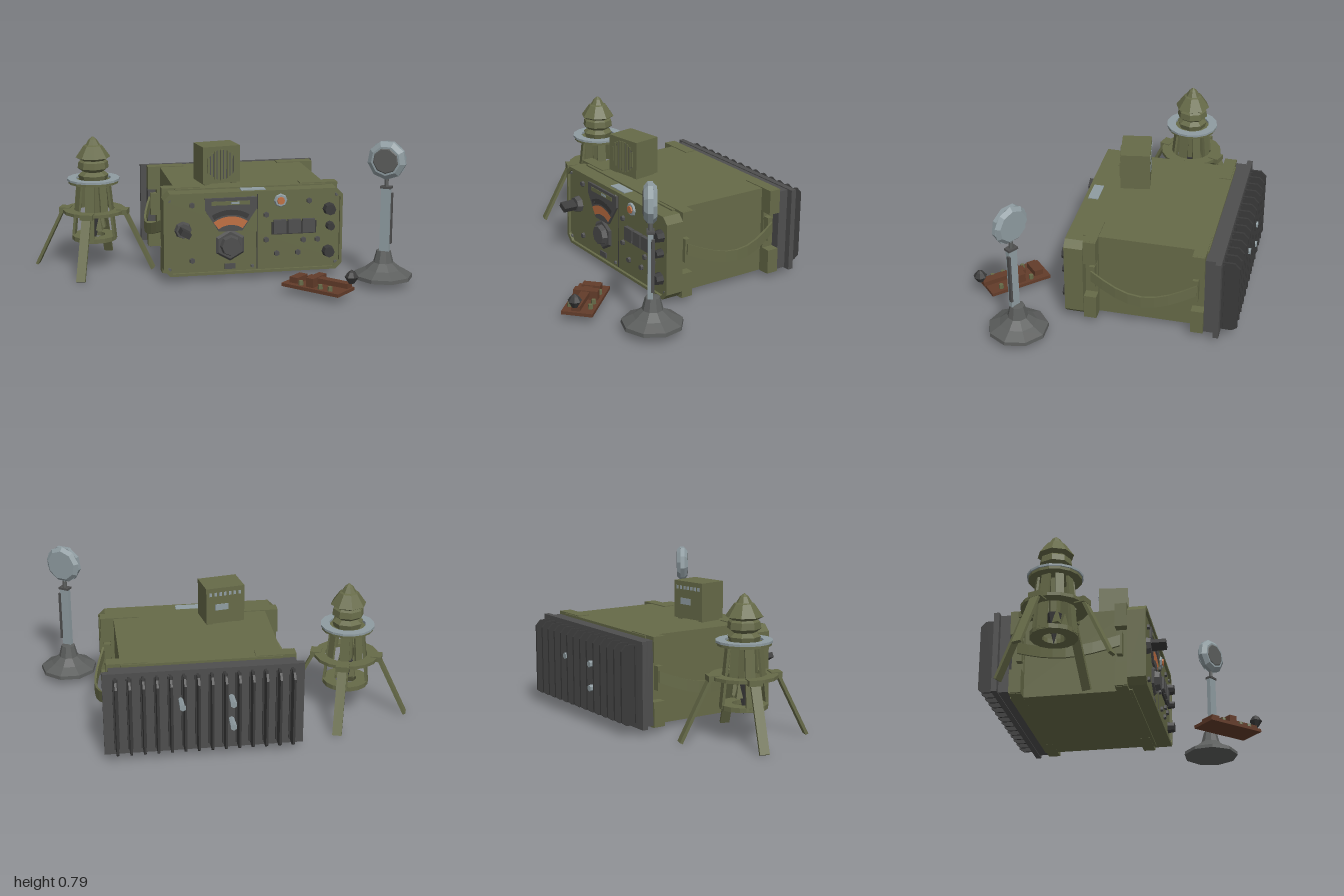
import * as THREE from 'three';

const mat = (name, color) => Object.assign(new THREE.MeshStandardMaterial({ color, flatShading: true }), { name });

export function createModel() {
  const olive = mat('olive paint', 0x666a48);
  const iron = mat('dark iron', 0x4e4e4e);
  const black = mat('black fins', 0x3a3a3a);
  const grey = mat('base grey', 0x5c5e5d);
  const steel = mat('pale steel', 0x8f9ca1);
  const brown = mat('brown wood', 0x633c2a);
  const orange = mat('orange dial', 0xbf6f42);

  const root = new THREE.Group();
  root.name = 'fieldRadioSet';
  const group = (name, x, y, z, ry = 0, parent = root) => {
    const g = new THREE.Group();
    g.name = name;
    g.position.set(x, y, z);
    g.rotation.y = ry;
    parent.add(g);
    return g;
  };
  const add = (parent, name, geo, m, x = 0, y = 0, z = 0) => {
    const mesh = new THREE.Mesh(geo, m);
    mesh.name = name;
    mesh.position.set(x, y, z);
    parent.add(mesh);
    return mesh;
  };
  const box = (p, name, m, w, h, d, x, y, z) => add(p, name, new THREE.BoxGeometry(w, h, d), m, x, y, z);
  const cyl = (p, name, m, rt, rb, h, n, x, y, z) => add(p, name, new THREE.CylinderGeometry(rt, rb, h, n), m, x, y, z);
  // Knob whose axis points to +z, with its back at z
  const knob = (p, name, m, r, d, n, x, y, z, tip = r * 0.85) => {
    const k = cyl(p, name, m, tip, r, d, n, x, y, z + d / 2);
    k.rotation.x = Math.PI / 2;
    return k;
  };
  const outline = (pts) => new THREE.Shape(pts.map(([x, y]) => new THREE.Vector2(x, y)));
  const plate = (shape, depth) => new THREE.ExtrudeGeometry(shape, { depth, bevelEnabled: false, curveSegments: 8 });
  const octagon = (w, h, c) => [[-w + c, -h], [w - c, -h], [w, -h + c], [w, h - c], [w - c, h], [-w + c, h], [-w, h - c], [-w, -h + c]];
  // Flat bar running between two points
  const bar = (p, name, m, a, b, w, d, ry = 0) => {
    const va = new THREE.Vector3(...a), vb = new THREE.Vector3(...b), dir = vb.clone().sub(va);
    const mesh = add(p, name, new THREE.BoxGeometry(w, dir.length(), d), m);
    mesh.position.copy(va.add(vb).multiplyScalar(0.5));
    mesh.quaternion.setFromUnitVectors(new THREE.Vector3(0, 1, 0), dir.normalize());
    if (ry) mesh.rotateY(ry);
    return mesh;
  };

  // Radio case
  const radio = group('radio', 0.16, 0, 0);
  box(radio, 'caseBody', olive, 0.84, 0.475, 0.66, 0, 0.268, -0.23);
  const rim = outline(octagon(0.497, 0.23, 0.035));
  rim.holes.push(new THREE.Path(octagon(0.482, 0.215, 0.035).map(([x, y]) => new THREE.Vector2(x, y))));
  add(radio, 'frontRim', plate(rim, 0.1), olive, 0, 0.268, 0.085);
  add(radio, 'frontPanel', plate(outline(octagon(0.485, 0.218, 0.035)), 0.085), olive, 0, 0.268, 0.085);
  box(radio, 'topLabel', steel, 0.135, 0.005, 0.055, 0, 0.5, 0.137);

  // Corner guards and carrying straps, mirrored
  for (const s of [-1, 1]) {
    for (const z of [0.05, -0.52]) {
      for (const y of [0.1, 0.442]) box(radio, 'cornerGuard', olive, 0.09, 0.135, 0.066, s * 0.447, y, z);
      box(radio, 'sidePost', olive, 0.03, 0.24, 0.066, s * 0.425, 0.27, z);
      for (const y of [0.037, 0.503]) box(radio, 'edgeGuard', olive, 0.2, 0.014, 0.066, s * 0.38, y, z);
      box(radio, 'strapMount', olive, 0.05, 0.13, 0.03, s * 0.452, 0.285, z < 0 ? -0.505 : 0.04);
    }
    const geo = new THREE.BoxGeometry(0.012, 0.062, 0.56, 1, 1, 8);
    const p = geo.attributes.position;
    for (let i = 0; i < p.count; i++) {
      const bow = Math.cos((p.getZ(i) / 0.56) * Math.PI);
      p.setX(i, p.getX(i) + s * 0.06 * bow);
      p.setY(i, p.getY(i) - 0.075 * bow);
    }
    add(radio, 'carryStrap', geo, olive, s * 0.48, 0.295, -0.235);
  }

  // Heat sink at the back
  box(radio, 'backPlate', iron, 0.97, 0.45, 0.06, 0, 0.267, -0.585);
  box(radio, 'backFlange', iron, 1.04, 0.46, 0.03, 0, 0.267, -0.625);
  const fin = plate(outline([[0, -0.21], [0.06, -0.21], [0.088, -0.19], [0.088, 0.18], [0.06, 0.21], [0, 0.21]]), 0.012);
  for (let i = 0; i < 14; i++) {
    const x = -0.455 + i * 0.07;
    add(radio, 'coolingFin', fin, black, x - 0.006, 0.267, -0.64).rotation.y = Math.PI / 2;
    box(radio, 'finRoot', black, 0.028, 0.4, 0.012, x, 0.267, -0.645);
  }
  for (const [x, y] of [[0.12, 0.33], [-0.14, 0.33], [-0.14, 0.2]])
    knob(radio, 'backBolt', steel, 0.018, 0.095, 6, x, y, -0.735);

  // Front controls
  const face = group('frontControls', 0, 0, 0.17);
  add(face, 'dialPlate', plate(outline([[-0.11, 0.465], [-0.11, 0.4], [-0.035, 0.28], [0.095, 0.28], [0.175, 0.4], [0.175, 0.465]]), 0.012), iron);
  box(face, 'dialScale', olive, 0.21, 0.022, 0.004, 0.03, 0.437, 0.013);
  box(face, 'scaleWindow', steel, 0.045, 0.012, 0.004, 0.055, 0.437, 0.015);
  add(face, 'dialArc', new THREE.RingGeometry(0.115, 0.163, 8, 1, Math.PI / 2 - 0.62, 1.24), orange, 0.03, 0.2, 0.014);
  add(face, 'dialBand', new THREE.RingGeometry(0.172, 0.2, 8, 1, Math.PI / 2 - 0.55, 1.1), black, 0.03, 0.2, 0.014);
  knob(face, 'tuningDisc', iron, 0.09, 0.012, 6, 0.03, 0.2, 0);
  knob(face, 'tuningKnob', iron, 0.06, 0.03, 8, 0.03, 0.2, 0.01);
  box(face, 'panelSeam', black, 0.004, 0.42, 0.004, 0.18, 0.268, 0.001);
  box(face, 'lowerTag', iron, 0.06, 0.03, 0.008, 0.03, 0.08, 0.003);
  knob(face, 'gainKnob', iron, 0.048, 0.03, 8, -0.23, 0.295, 0);
  const pointer = box(face, 'gainPointer', black, 0.055, 0.03, 0.1, -0.23, 0.295, 0.06);
  pointer.rotation.z = -0.5;
  box(face, 'meterBack', black, 0.25, 0.07, 0.012, 0.385, 0.283, 0.005);
  for (let i = 0; i < 3; i++) box(face, 'meterBlock', iron, 0.07, 0.075, 0.022, 0.305 + i * 0.08, 0.293, 0.012);
  knob(face, 'lampRing', steel, 0.038, 0.01, 8, 0.31, 0.437, 0);
  knob(face, 'lamp', orange, 0.024, 0.018, 8, 0.31, 0.437, 0);
  for (const [x, y, r] of [[0.583, 0.38, 0.036], [0.588, 0.285, 0.025], [0.58, 0.14, 0.035]])
    knob(face, 'sideKnob', black, r, 0.04, 8, x, y, 0);
  for (const [x, y] of [[-0.18, 0.43], [-0.18, 0.12], [-0.04, 0.36], [0.23, 0.36], [0.29, 0.14], [0.41, 0.14], [0.44, 0.21], [0.47, 0.43], [0.52, 0.21], [0.23, 0.22]])
    knob(face, 'smallSwitch', iron, 0.017, 0.014, 6, x, y, 0);
  for (const x of [-0.305, 0.155, 0.625])
    for (const y of [0.075, 0.46]) knob(face, 'panelScrew', grey, 0.011, 0.008, 6, x, y, 0);

  // Loudspeaker on the case
  const speaker = group('loudspeaker', -0.005, 0, -0.048, 0.17);
  box(speaker, 'speakerBox', olive, 0.215, 0.205, 0.16, 0, 0.618, 0);
  add(speaker, 'grilleBack', new THREE.CircleGeometry(0.085, 10), iron, 0, 0.618, 0.0815);
  for (let i = -4; i <= 4; i++)
    box(speaker, 'grilleSlat', olive, 0.012, 2 * Math.sqrt(0.0075 - (i * 0.019) ** 2), 0.006, i * 0.019, 0.618, 0.083);
  box(speaker, 'speakerLabel', steel, 0.075, 0.035, 0.004, 0.02, 0.61, -0.081);
  for (let i = 0; i < 7; i++) box(speaker, 'ventSlot', steel, 0.014, 0.02, 0.004, -0.08 + i * 0.027, 0.685, -0.081);
  for (const x of [-0.08, 0.08]) box(speaker, 'speakerFoot', olive, 0.03, 0.015, 0.13, x, 0.511, 0);

  // Four-legged beacon
  const beacon = group('beacon', -0.672, 0, -0.232);
  const collar = (name, m, r, hole, h, y) => {
    const s = new THREE.Shape().absarc(0, 0, r, 0, Math.PI * 2);
    s.holes.push(new THREE.Path().absarc(0, 0, hole, 0, Math.PI * 2));
    const g = new THREE.ExtrudeGeometry(s, { depth: h, bevelEnabled: false, curveSegments: 8 });
    add(beacon, name, g, m, 0, y, 0).rotation.x = -Math.PI / 2;
  };
  collar('legRing', olive, 0.175, 0.115, 0.018, 0.322);
  collar('lowerRing', olive, 0.125, 0.06, 0.025, 0.165);
  collar('upperRing', olive, 0.14, 0.05, 0.015, 0.49);
  collar('paleRing', steel, 0.147, 0.098, 0.012, 0.505);
  for (let i = 0; i < 4; i++) {
    const arm = group('legAssembly', 0, 0, 0, -0.33 + i * Math.PI / 2, beacon);
    bar(arm, 'leg', olive, [0.175, 0.335, 0], [0.335, 0.006, 0], 0.016, 0.05);
    box(arm, 'legHinge', olive, 0.06, 0.03, 0.07, 0.165, 0.33, 0);
    bar(arm, 'bodyPost', olive, [0.085, 0.495, 0], [0.118, 0.17, 0], 0.014, 0.05);
    const half = group('midPost', 0, 0, 0, Math.PI / 4, arm);
    bar(half, 'bodyPanel', olive, [0.09, 0.495, 0], [0.108, 0.33, 0], 0.012, 0.045);
    add(half, 'lowerTooth', new THREE.ConeGeometry(0.025, 0.09, 4), olive, 0.055, 0.27, 0);
  }
  cyl(beacon, 'coreRod', olive, 0.03, 0.03, 0.2, 6, 0, 0.4, 0);
  add(beacon, 'bottomSpike', new THREE.ConeGeometry(0.04, 0.17, 6), black, 0, 0.215, 0).rotation.x = Math.PI;
  add(beacon, 'domedCap', new THREE.LatheGeometry(
    [[0, 0.5], [0.075, 0.5], [0.085, 0.535], [0.06, 0.555], [0.087, 0.575], [0.082, 0.61], [0.07, 0.62], [0.097, 0.635], [0.052, 0.7], [0.04, 0.705], [0.022, 0.735], [0, 0.752]]
      .map(([x, y]) => new THREE.Vector2(x, y)), 8), olive);

  // Desk microphone
  const mic = group('microphone', 0.832, 0, 0.39);
  add(mic, 'micBase', new THREE.LatheGeometry(
    [[0, 0.04], [0.16, 0.04], [0.158, 0.06], [0.1, 0.09], [0.055, 0.125], [0.038, 0.19], [0, 0.195]]
      .map(([x, y]) => new THREE.Vector2(x, y)), 9), grey);
  const stand = group('micStand', 0, 0, 0.015, -0.57, mic);
  box(stand, 'micStem', steel, 0.052, 0.35, 0.026, 0, 0.365, 0);
  box(stand, 'stemSwitch', iron, 0.012, 0.28, 0.018, 0.028, 0.37, -0.012);
  box(stand, 'stemTop', iron, 0.06, 0.012, 0.04, 0, 0.542, 0);
  cyl(stand, 'micNeck', grey, 0.012, 0.012, 0.05, 6, 0, 0.565, 0);
  knob(stand, 'micHead', steel, 0.105, 0.025, 9, 0, 0.69, -0.01, 0.105);
  knob(stand, 'micHeadFront', steel, 0.105, 0.02, 9, 0, 0.69, 0.015, 0.08);
  knob(stand, 'micGrille', grey, 0.075, 0.006, 9, 0, 0.69, 0.032);
  const back = knob(stand, 'micHeadBack', steel, 0.105, 0.02, 9, 0, 0.69, -0.03, 0.085);
  back.rotation.x = -Math.PI / 2;

  // Telegraph key
  const key = group('telegraphKey', 0.43, 0, 0.532, -0.82);
  box(key, 'keyBoard', brown, 0.35, 0.018, 0.165, 0, 0.05, 0);
  box(key, 'keyLever', brown, 0.25, 0.026, 0.045, 0.07, 0.09, 0);
  box(key, 'leverBridge', brown, 0.045, 0.05, 0.13, -0.01, 0.083, 0);
  box(key, 'rearBlock', brown, 0.05, 0.035, 0.1, -0.12, 0.073, 0);
  for (const z of [-0.055, 0.055])
    for (const x of [-0.07, 0.05, 0.11]) cyl(key, 'contactScrew', olive, 0.012, 0.014, 0.025, 6, x, 0.07, z);
  add(key, 'keyKnob', new THREE.LatheGeometry(
    [[0, 0.1], [0.015, 0.105], [0.037, 0.14], [0.02, 0.165], [0, 0.178]].map(([x, y]) => new THREE.Vector2(x, y)), 7), black, 0.205, 0, 0);

  return root;
}
